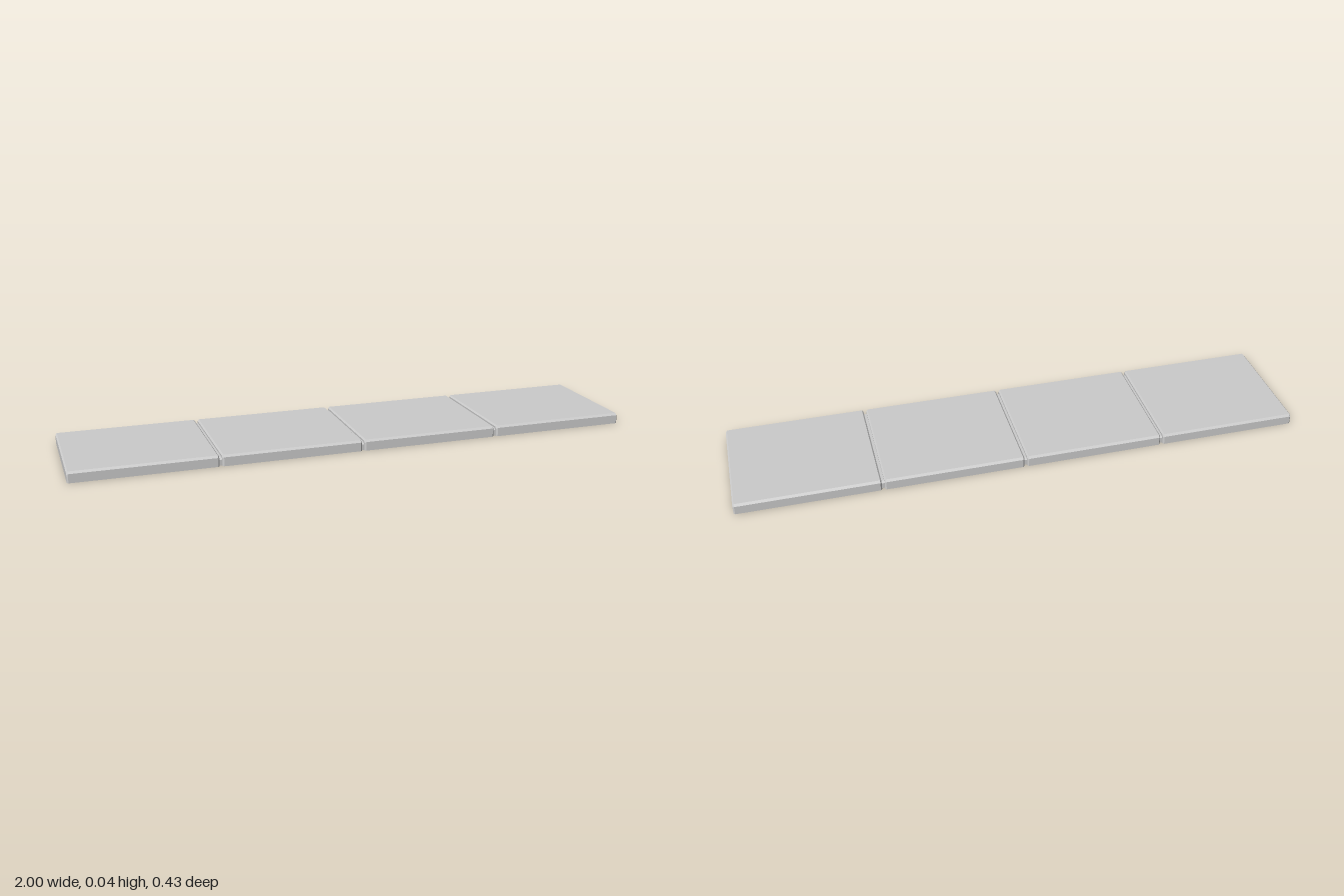
import * as THREE from 'three';

const HALF_WIDTH = 0.214, HEIGHT = 0.038, BEVEL = 0.007;
const GROOVE = 0.011, GAP = 0.005, TILES = 4;

const material = new THREE.MeshStandardMaterial({
  color: 0xcccccc, flatShading: true, side: THREE.DoubleSide,
});

// Bevelled cross-section, open at the bottom, shrunk by an inset
function section([x, inset]) {
  const w = HALF_WIDTH - inset, h = HEIGHT - inset;
  return [[w, 0], [w, h - BEVEL], [w - BEVEL, h], [BEVEL - w, h], [-w, h - BEVEL], [-w, 0]]
    .map(([z, y]) => [x, y, z]);
}

// Shell through a row of [x, inset] stations, with optional end walls
function shell(name, stations, capStart = false, capEnd = false) {
  const rings = stations.map(section), pos = [];
  const tri = (...corners) => corners.forEach((p) => pos.push(...p));
  for (let s = 0; s < rings.length - 1; s++) {
    const p = rings[s], q = rings[s + 1];
    for (let i = 0; i < p.length - 1; i++) {
      tri(p[i], q[i], q[i + 1]);
      tri(p[i], q[i + 1], p[i + 1]);
    }
  }
  const first = rings[0], last = rings[rings.length - 1];
  for (let i = 1; i < first.length - 1; i++) {
    if (capStart) tri(first[0], first[i], first[i + 1]);
    if (capEnd) tri(last[0], last[i + 1], last[i]);
  }
  const geometry = new THREE.BufferGeometry();
  geometry.setAttribute('position', new THREE.Float32BufferAttribute(pos, 3));
  geometry.computeVertexNormals();
  const mesh = new THREE.Mesh(geometry, material);
  mesh.name = name;
  return mesh;
}

export function createModel() {
  const group = new THREE.Group();
  group.name = 'segmentedPanel';
  const length = 2 / TILES, edge = 0.005;

  for (let t = 0; t < TILES; t++) {
    const isFirst = t === 0, isLast = t === TILES - 1;
    const a = -1 + t * length + (isFirst ? 0 : GAP);
    const b = -1 + (t + 1) * length - (isLast ? 0 : GAP);

    // Tile with bevelled ends; inner ends drop down into the groove
    const stations = [[a, edge], [a + edge, 0], [b - edge, 0], [b, edge]];
    if (!isFirst) stations.unshift([a, GROOVE]);
    if (!isLast) stations.push([b, GROOVE]);
    group.add(shell(`tile${t + 1}`, stations, isFirst, isLast));

    // Recessed strip joining this tile to the next
    if (!isLast) {
      group.add(shell(`groove${t + 1}`, [[b, GROOVE], [b + 2 * GAP, GROOVE]]));
    }
  }
  return group;
}
